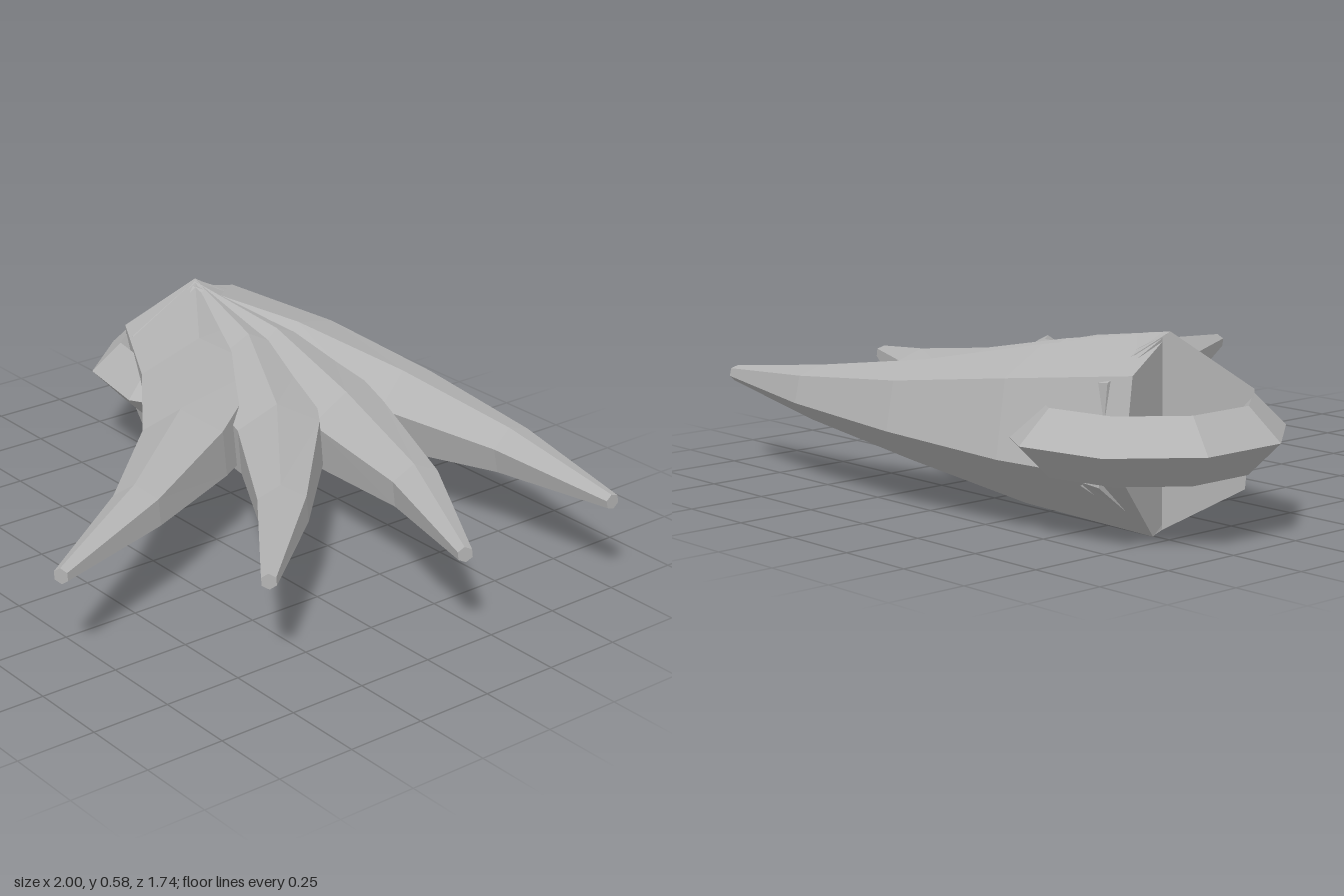
import * as THREE from 'three';

const MID = 0.292;                                  // height of the centre plane
const RADII = [0.29, 0.23, 0.15, 0.085, 0.025];     // blade taper, root to tip
const SIDES = 6;

// Centre lines (x, z) of the four curved blades, and the roll of their section
const BLADES = [
  { name: 'firstBlade', roll: 13, path: [[-0.685, -0.465], [-0.32, -0.62], [0.08, -0.725], [0.53, -0.765], [0.99, -0.74]] },
  { name: 'secondBlade', roll: 7, path: [[-0.685, -0.465], [-0.29, -0.5], [0.12, -0.445], [0.56, -0.335], [0.985, -0.145]] },
  { name: 'thirdBlade', roll: 5, path: [[-0.685, -0.465], [-0.3, -0.385], [0.07, -0.2], [0.435, 0.085], [0.775, 0.41]] },
  { name: 'fourthBlade', roll: 5, path: [[-0.685, -0.465], [-0.36, -0.23], [-0.08, 0.065], [0.17, 0.43], [0.39, 0.855]] },
];

// Six-sided tapered tube along a curved path, closed at both ends
function bladeGeometry(path, roll) {
  const curve = new THREE.CatmullRomCurve3(path.map(([x, z]) => new THREE.Vector3(x, MID, z)));
  const positions = [];
  const index = [];
  path.forEach(([x, z], i) => {
    const t = curve.getTangent(i / (path.length - 1));
    for (let k = 0; k < SIDES; k++) {
      const a = THREE.MathUtils.degToRad(roll + k * 360 / SIDES);
      const side = RADII[i] * Math.sin(a);
      positions.push(x - t.z * side, MID + RADII[i] * Math.cos(a), z + t.x * side);
    }
  });
  for (let i = 0; i < path.length - 1; i++) {
    for (let k = 0; k < SIDES; k++) {
      const a = i * SIDES + k;
      const b = i * SIDES + (k + 1) % SIDES;
      index.push(a, b, b + SIDES, a, b + SIDES, a + SIDES);
    }
  }
  const tip = (path.length - 1) * SIDES;
  for (let k = 1; k < SIDES - 1; k++) {
    index.push(0, k + 1, k);
    index.push(tip, tip + k, tip + k + 1);
  }
  const indexed = new THREE.BufferGeometry();
  indexed.setAttribute('position', new THREE.Float32BufferAttribute(positions, 3));
  indexed.setIndex(index);
  const geometry = indexed.toNonIndexed();
  geometry.computeVertexNormals();
  return geometry;
}

export function createModel() {
  const model = new THREE.Group();
  model.name = 'claw';
  const grey = new THREE.MeshStandardMaterial({ color: 0xb4b4b4, flatShading: true });
  grey.name = 'plain grey';

  // Fanned blades
  for (const { name, roll, path } of BLADES) {
    const blade = new THREE.Mesh(bladeGeometry(path, roll), grey);
    blade.name = name;
    model.add(blade);
  }

  // Nine-sided grip ring with a diamond section
  const ring = new THREE.Mesh(new THREE.TorusGeometry(0.32, 0.098, 4, 9), grey);
  ring.name = 'gripRing';
  ring.rotation.x = Math.PI / 2;
  ring.rotation.z = 0;
  ring.position.set(-0.61, 0.29, -0.46);
  model.add(ring);

  return model;
}
